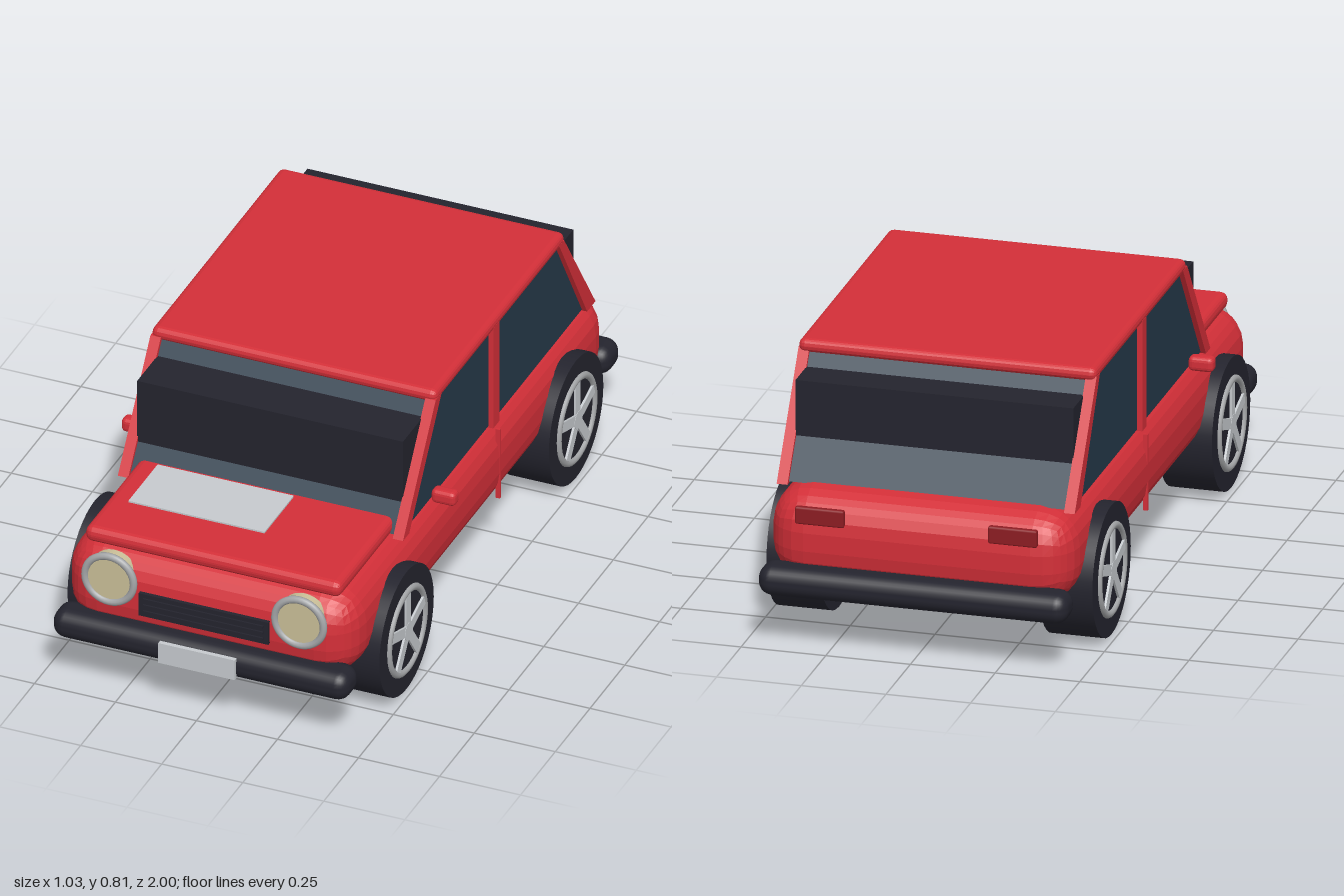
import * as THREE from 'three';
import { RoundedBoxGeometry } from 'three/addons/geometries/RoundedBoxGeometry.js';

const mat = (name, color, extra = {}) => {
  const m = new THREE.MeshStandardMaterial({ color, ...extra });
  m.name = name;
  return m;
};

export function createModel() {
  const car = new THREE.Group();
  car.name = 'car';
  const red = mat('red paint', 0xd32f38, { flatShading: true });
  const dark = mat('dark rubber', 0x24242e);
  const glass = mat('tinted glass', 0x25394a);
  const chrome = mat('chrome', 0xa4a6a8);
  const silver = mat('light silver', 0xc6cace);
  const cream = mat('lens cream', 0xcabf98);
  const tail = mat('tail light red', 0x8c1c22);

  const add = (name, geo, material, x = 0, y = 0, z = 0, parent = car) => {
    const m = new THREE.Mesh(geo, material);
    m.name = name;
    m.position.set(x, y, z);
    parent.add(m);
    return m;
  };
  const box = (w, h, d) => new THREE.BoxGeometry(w, h, d);
  const round = (w, h, d, r, s = 3) => new RoundedBoxGeometry(w, h, d, s, r);

  // side profile given as [z, y] points, extruded from x0 to x1
  const prism = (pts, x0, x1) => {
    const shape = new THREE.Shape(pts.map(p => new THREE.Vector2(p[0], p[1])));
    const g = new THREE.ExtrudeGeometry(shape, { depth: x1 - x0, bevelEnabled: false });
    return g.rotateY(-Math.PI / 2).translate(x1, 0, 0);
  };

  // lower body, hood and roof
  add('body', round(0.9, 0.285, 1.88, 0.115), red, 0, 0.3125, 0);
  add('hood', round(0.79, 0.05, 0.61, 0.022, 2), red, 0, 0.463, 0.585);
  add('roof', round(0.88, 0.04, 0.935, 0.019, 2), red, 0, 0.785, -0.163);
  add('hoodPanel', box(0.42, 0.008, 0.21), silver, -0.12, 0.489, 0.615);

  // cabin glass and the dark block showing through both screens
  add('cabinGlass', prism([[0.525, 0.45], [0.29, 0.78], [-0.61, 0.78], [-0.83, 0.45]], -0.425, 0.425), glass);
  add('darkInterior', box(0.82, 0.26, 1.225), dark, 0, 0.6, -0.1425);

  // bumpers, grille and plate
  add('frontBumper', round(0.915, 0.09, 0.11, 0.04), dark, 0, 0.2, 0.937);
  add('rearBumper', round(0.915, 0.09, 0.11, 0.04), dark, 0, 0.2, -0.945);
  add('grille', box(0.4, 0.074, 0.03), dark, 0, 0.312, 0.935);
  for (let i = 0; i < 3; i++) {
    add('grilleSlat', box(0.37, 0.008, 0.006), dark, 0, 0.292 + i * 0.02, 0.952);
  }
  add('numberPlate', box(0.236, 0.066, 0.014), silver, 0, 0.198, 0.993);

  // parts mirrored on both sides
  for (const s of [-1, 1]) {
    const side = pts => prism(pts, s > 0 ? 0.408 : -0.44, s > 0 ? 0.44 : -0.408);
    add('frontPillar', side([[0.54, 0.445], [0.305, 0.78], [0.262, 0.78], [0.495, 0.445]]), red);
    add('rearPillar', side([[-0.845, 0.445], [-0.62, 0.78], [-0.585, 0.78], [-0.785, 0.445]]), red);
    add('middlePillar', box(0.032, 0.335, 0.045), red, s * 0.424, 0.6125, -0.132);
    add('doorSeam', box(0.014, 0.23, 0.007), red, s * 0.444, 0.315, -0.135);
    add('mirror', round(0.075, 0.044, 0.042, 0.014, 2), red, s * 0.478, 0.482, 0.325);

    // headlight: lens inside a chrome ring
    add('headlightLens', new THREE.CylinderGeometry(0.073, 0.073, 0.045, 40).rotateX(Math.PI / 2), cream, s * 0.293, 0.37, 0.924);
    add('headlightRing', new THREE.TorusGeometry(0.075, 0.011, 10, 40), chrome, s * 0.293, 0.37, 0.944);
    add('tailLight', round(0.145, 0.052, 0.022, 0.006, 1), tail, s * 0.285, 0.395, -0.938);

    // wheels: tyre, rim ring and five spokes
    for (const z of [0.61, -0.61]) {
      const wheel = new THREE.Group();
      wheel.name = 'wheel';
      wheel.position.set(s * 0.402, 0.196, z);
      car.add(wheel);
      add('tyre', new THREE.CylinderGeometry(0.196, 0.196, 0.158, 40).rotateZ(Math.PI / 2), dark, 0, 0, 0, wheel);
      add('rim', new THREE.TorusGeometry(0.129, 0.011, 10, 40).rotateY(Math.PI / 2), chrome, s * 0.078, 0, 0, wheel);
      add('hub', new THREE.CylinderGeometry(0.028, 0.028, 0.016, 20).rotateZ(Math.PI / 2), silver, s * 0.079, 0, 0, wheel);
      for (let i = 0; i < 5; i++) {
        const spoke = box(0.014, 0.115, 0.032).translate(0, 0.064, 0).rotateX(i * Math.PI * 0.4);
        add('spoke', spoke, silver, s * 0.079, 0, 0, wheel);
      }
    }
  }
  return car;
}
